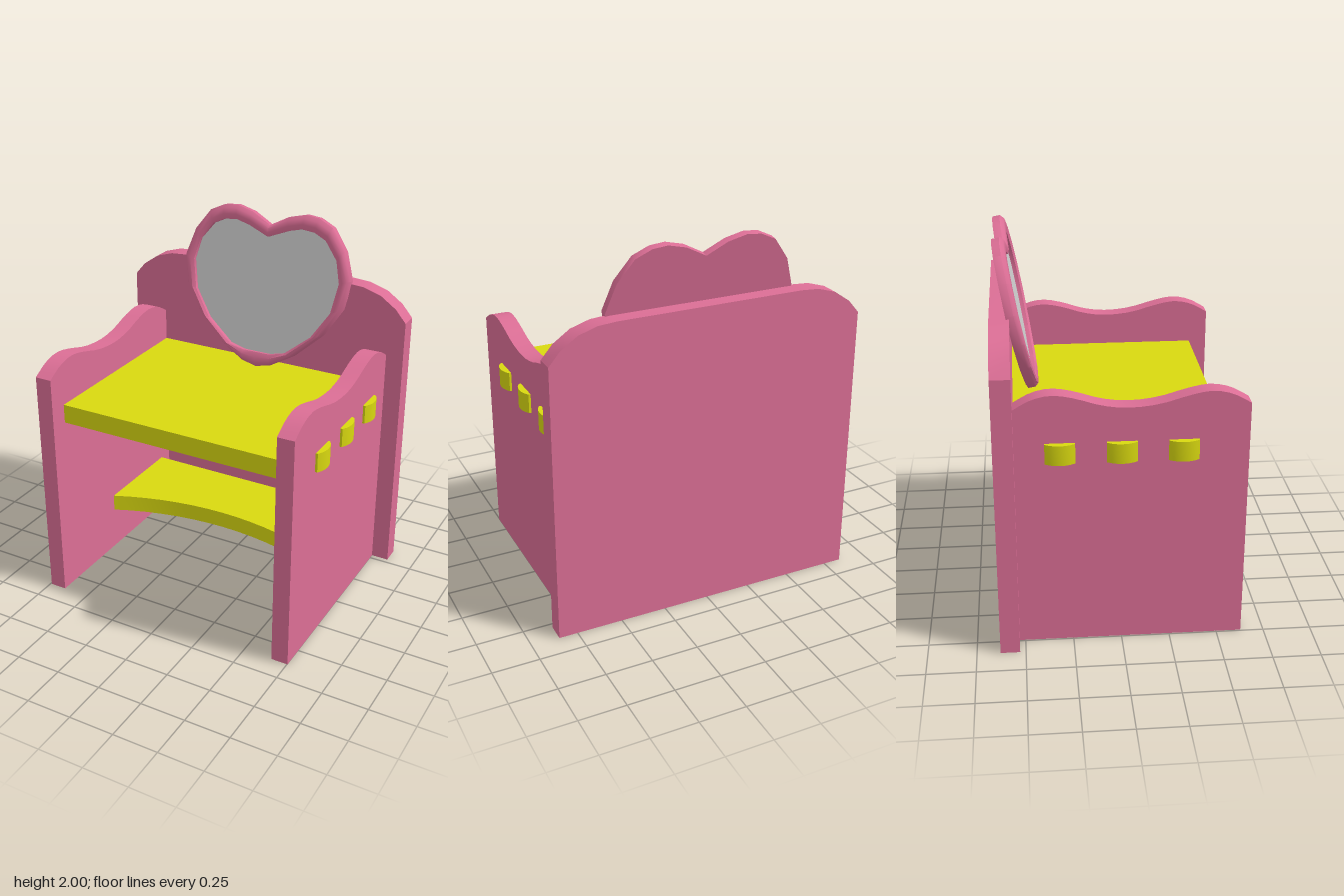
import * as THREE from 'three';
import { toCreasedNormals } from 'three/addons/utils/BufferGeometryUtils.js';

const pink = new THREE.MeshStandardMaterial({ color: 0xdb6e95 });
const yellow = new THREE.MeshStandardMaterial({ color: 0xd8d810 });
const grey = new THREE.MeshStandardMaterial({ color: 0xcccccc });

const toShape = pts => new THREE.Shape(pts.map(p => new THREE.Vector2(p[0], p[1])));
const extrude = (pts, depth) => new THREE.ExtrudeGeometry(toShape(pts), { depth, bevelEnabled: false });

function part(parent, name, geometry, material, x = 0, y = 0, z = 0) {
  const mesh = new THREE.Mesh(geometry, material);
  mesh.name = name;
  mesh.position.set(x, y, z);
  parent.add(mesh);
  return mesh;
}

// Points of a shallow arc from (-w, 0) to (w, 0) that rises by h in the middle
function arc(w, h, n) {
  const r = (w * w + h * h) / (2 * h), a = Math.asin(w / r), pts = [];
  for (let i = 0; i <= n; i++) {
    const t = -a + (2 * a * i) / n;
    pts.push([r * Math.sin(t), r * Math.cos(t) - r + h]);
  }
  return pts;
}

// Closes a half outline by mirroring it in x (first and last points lie on the axis)
const mirrorOutline = half => [...half, ...half.slice(1, -1).reverse().map(([x, y]) => [-x, y])];

// Tilted heart: lofted rim around a recessed mirror, with a flat back
function createHeart() {
  const heart = new THREE.Group();
  heart.name = 'heartMirror';
  const tilt = 0.19, base = 1.12;
  const local = ([x, y]) => [x, (y - base) / Math.cos(tilt)];
  const outer = mirrorOutline([[0, 1.91], [0.11, 1.968], [0.21, 1.993], [0.29, 1.985], [0.375, 1.945],
    [0.46, 1.83], [0.51, 1.68], [0.48, 1.52], [0.38, 1.36], [0.22, 1.215], [0.09, 1.14], [0, 1.12]].map(local));
  const inner = mirrorOutline([[0, 1.847], [0.12, 1.895], [0.2, 1.915], [0.275, 1.908], [0.345, 1.875],
    [0.42, 1.78], [0.45, 1.66], [0.42, 1.495], [0.32, 1.345], [0.17, 1.225], [0.08, 1.203], [0, 1.203]].map(local));
  // Rim section: share of the way inwards, height above the back
  const section = [[0, 0], [0, 0.04], [0.25, 0.058], [0.65, 0.063], [1, 0.052], [1, 0.03]];
  const n = outer.length, pos = [], index = [];
  section.forEach(([t, z], s) => {
    outer.forEach((p, i) => {
      pos.push(p[0] + (inner[i][0] - p[0]) * t, p[1] + (inner[i][1] - p[1]) * t, z);
      if (s === 0) return;
      const j = (i + 1) % n, a = (s - 1) * n + i, b = (s - 1) * n + j, c = s * n + i, d = s * n + j;
      index.push(a, c, b, b, c, d);
    });
  });
  const rim = new THREE.BufferGeometry();
  rim.setAttribute('position', new THREE.Float32BufferAttribute(pos, 3));
  rim.setIndex(index);
  part(heart, 'heartRim', toCreasedNormals(rim, 0.75), pink);
  part(heart, 'heartBack', new THREE.ShapeGeometry(toShape(outer).clone()).scale(-1, 1, 1).rotateY(0), pink);
  // The back is symmetric, so turning it half round makes it face backwards
  heart.children[1].geometry = new THREE.ShapeGeometry(toShape(outer)).rotateY(Math.PI);
  part(heart, 'mirrorGlass', new THREE.ShapeGeometry(toShape(inner)), grey, 0, 0, 0.03);
  heart.rotation.x = -tilt;
  heart.position.set(0.02, base, -0.44);
  return heart;
}

export function createModel() {
  const model = new THREE.Group();
  model.name = 'vanityTable';
  const cx = 0.005;

  // Back panel with rounded shoulders
  const shoulder = [[0.85, 0], [0.85, 1.5], [0.79, 1.57], [0.7, 1.632], [0.6, 1.663], [0.5, 1.67]];
  const backOutline = [...shoulder, ...shoulder.map(([x, y]) => [-x, y]).reverse()];
  part(model, 'backPanel', toCreasedNormals(extrude(backOutline, 0.1), 0.5), pink, 0, 0, -0.63);

  // Side panels with a wavy top edge (z, y)
  const wave = new THREE.SplineCurve([[0.63, 1.3], [0.54, 1.35], [0.44, 1.37], [0.33, 1.352], [0.18, 1.31],
    [0.03, 1.296], [-0.1, 1.312], [-0.23, 1.352], [-0.34, 1.37], [-0.44, 1.35], [-0.53, 1.3]]
    .map(p => new THREE.Vector2(...p))).getPoints(24).map(p => [p.x, p.y]);
  const sideGeo = toCreasedNormals(extrude([[-0.53, 0], [0.63, 0], ...wave], 0.093).rotateY(-Math.PI / 2), 0.5);
  part(model, 'leftSide', sideGeo, pink, cx + 0.748);
  part(model, 'rightSide', sideGeo, pink, cx - 0.655);

  // Table top
  part(model, 'tableTop', new THREE.BoxGeometry(1.312, 0.105, 1.06), yellow, cx, 1.067, 0);

  // Lower shelf with a hollowed front edge (drawn in x, -z)
  const shelf = [[0.655, 0.44], [-0.655, 0.44], ...arc(0.655, 0.14, 14).map(([x, y]) => [x, y - 0.105])];
  part(model, 'lowerShelf', toCreasedNormals(extrude(shelf, 0.095).rotateX(-Math.PI / 2), 0.5), yellow, cx, 0.245, 0);

  // Rounded tenons through both sides
  const tenon = [[-0.075, -0.02], ...arc(0.075, 0.024, 6).map(([x, y]) => [x, y + 0.012]), [0.075, -0.02]];
  const tenonGeo = toCreasedNormals(extrude(tenon, 0.105).rotateX(-Math.PI / 2), 0.5);
  for (const side of [-1, 1]) {
    for (const z of [-0.305, 0, 0.305]) {
      const peg = part(model, side > 0 ? 'leftTenon' : 'rightTenon', tenonGeo, yellow, cx + side * 0.748, 1.015, z);
      peg.rotation.y = -side * Math.PI / 2;
    }
  }

  model.add(createHeart());
  return model;
}
